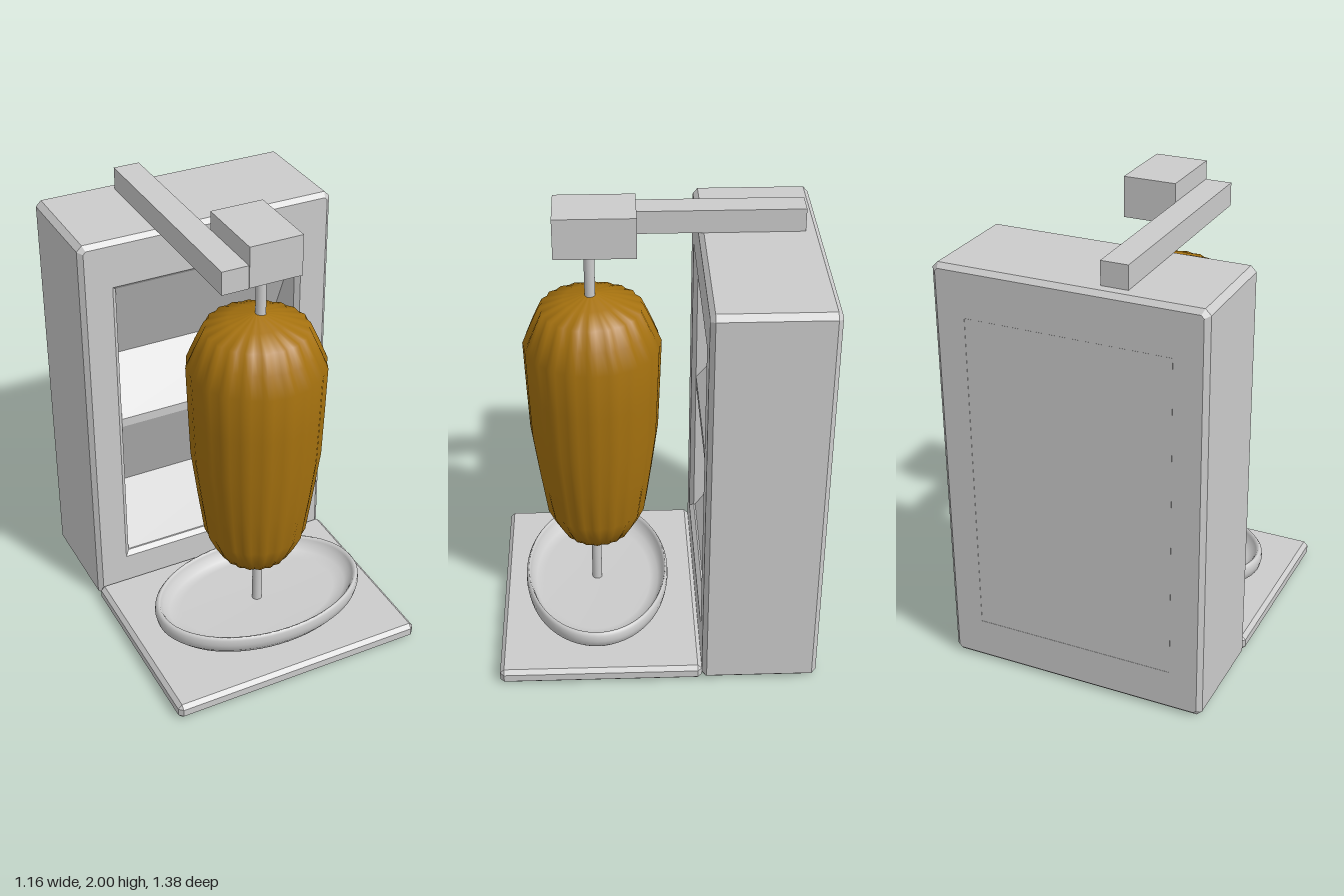
import * as THREE from 'three';
import { ConvexGeometry } from 'three/addons/geometries/ConvexGeometry.js';
import { mergeVertices } from 'three/addons/utils/BufferGeometryUtils.js';

const grey = new THREE.MeshStandardMaterial({ color: 0xcccccc });
const brown = new THREE.MeshStandardMaterial({ color: 0xa6720f });
const V2 = (p) => new THREE.Vector2(p[0], p[1]);

// Box between two corners
function box(x0, x1, y0, y1, z0, z1) {
  return new THREE.BoxGeometry(x1 - x0, y1 - y0, z1 - z0)
    .translate((x0 + x1) / 2, (y0 + y1) / 2, (z0 + z1) / 2);
}

// Box with all edges chamfered, centred on the origin
function chamferBox(w, h, d, c) {
  const points = [];
  for (const sx of [-1, 1]) for (const sy of [-1, 1]) for (const sz of [-1, 1]) {
    for (let face = 0; face < 3; face++) {
      const cut = [c, c, c];
      cut[face] = 0;
      points.push(new THREE.Vector3(
        sx * (w / 2 - cut[0]), sy * (h / 2 - cut[1]), sz * (d / 2 - cut[2])));
    }
  }
  return new ConvexGeometry(points);
}

// Housing shell: chamfered block with one large opening
function housingGeometry() {
  const w = 0.56, y0 = 0.02, y1 = 1.80, c = 0.012;
  const shape = new THREE.Shape([
    [-w + c, y0], [w - c, y0], [w, y0 + c], [w, y1 - c],
    [w - c, y1], [-w + c, y1], [-w, y1 - c], [-w, y0 + c],
  ].map(V2));
  shape.holes.push(new THREE.Path([[-0.44, 0.19], [-0.44, 1.61], [0.44, 1.61], [0.44, 0.19]].map(V2)));
  return new THREE.ExtrudeGeometry(shape, {
    depth: 0.46, bevelEnabled: true, bevelSize: 0.02, bevelThickness: 0.02, bevelSegments: 1,
  }).translate(0, 0, -0.67);
}

// Two sloped heater bays stacked inside the opening
function heaterGeometry() {
  const profile = new THREE.Shape([
    [-0.66, 0.17], [-0.21, 0.17], [-0.21, 0.2], [-0.4, 0.47], [-0.21, 0.90],
    [-0.21, 0.94], [-0.4, 1.16], [-0.21, 1.59], [-0.21, 1.63], [-0.66, 1.63],
  ].map(V2));
  return new THREE.ExtrudeGeometry(profile, { depth: 0.88, bevelEnabled: false })
    .rotateY(-Math.PI / 2).translate(0.44, 0, 0);
}

// Meat cone: tapered lathe with shallow flutes, deeper near the ends
function meatGeometry() {
  const profile = [
    [0, 0.41], [0.15, 0.41], [0.19, 0.48], [0.222, 0.55], [0.25, 0.75], [0.277, 0.96],
    [0.285, 1.17], [0.292, 1.38], [0.255, 1.47], [0.218, 1.55], [0.12, 1.585], [0.025, 1.612], [0, 1.612],
  ].map(V2);
  let g = new THREE.LatheGeometry(profile, 80);
  const pos = g.attributes.position;
  for (let i = 0; i < pos.count; i++) {
    const x = pos.getX(i), y = pos.getY(i), z = pos.getZ(i);
    const depth = y < 0.6 || y > 1.45 ? 0.05 : 0.025;
    const k = 1 - depth * (0.5 - 0.5 * Math.cos(20 * Math.atan2(z, x)));
    pos.setXYZ(i, x * k, y, z * k);
  }
  g.deleteAttribute('uv');
  g.deleteAttribute('normal');
  g = mergeVertices(g, 1e-5);
  g.computeVertexNormals();
  return g;
}

export function createModel() {
  const model = new THREE.Group();
  model.name = 'verticalGrill';
  const add = (name, geometry, material = grey, x = 0, y = 0, z = 0) => {
    const mesh = new THREE.Mesh(geometry, material);
    mesh.name = name;
    mesh.position.set(x, y, z);
    model.add(mesh);
    return mesh;
  };

  add('basePlate', chamferBox(1.16, 0.07, 0.88, 0.018), grey, 0, 0.035, 0.25);

  // Heater housing
  add('housing', housingGeometry());
  add('heaterBays', heaterGeometry());
  add('backPanel', box(-0.55, 0.55, 0.04, 1.78, -0.6895, -0.62));

  // Oval drip tray with a rolled rim
  const tray = [
    [0, 0.085], [0.78, 0.086], [0.92, 0.1], [0.985, 0.13], [1, 0.16], [0.995, 0.185], [0.975, 0.197],
    [0.955, 0.197], [0.94, 0.185], [0.92, 0.165], [0.86, 0.14], [0.75, 0.13], [0, 0.128],
  ].map(V2);
  add('dripTray', new THREE.LatheGeometry(tray, 64), grey, 0.01, 0, 0.262).scale.set(0.488, 1, 0.325);

  // Spit and meat
  add('spit', new THREE.CylinderGeometry(0.022, 0.022, 1.73, 20), grey, 0.005, 0.985, 0.262);
  add('meat', meatGeometry(), brown, -0.008, 0, 0.258);

  // Top arm and motor
  add('supportArm', box(-0.235, -0.12, 1.82, 1.92, -0.63, 0.4));
  add('motorBlock', box(-0.12, 0.11, 1.825, 2, 0.07, 0.405));

  return model;
}
